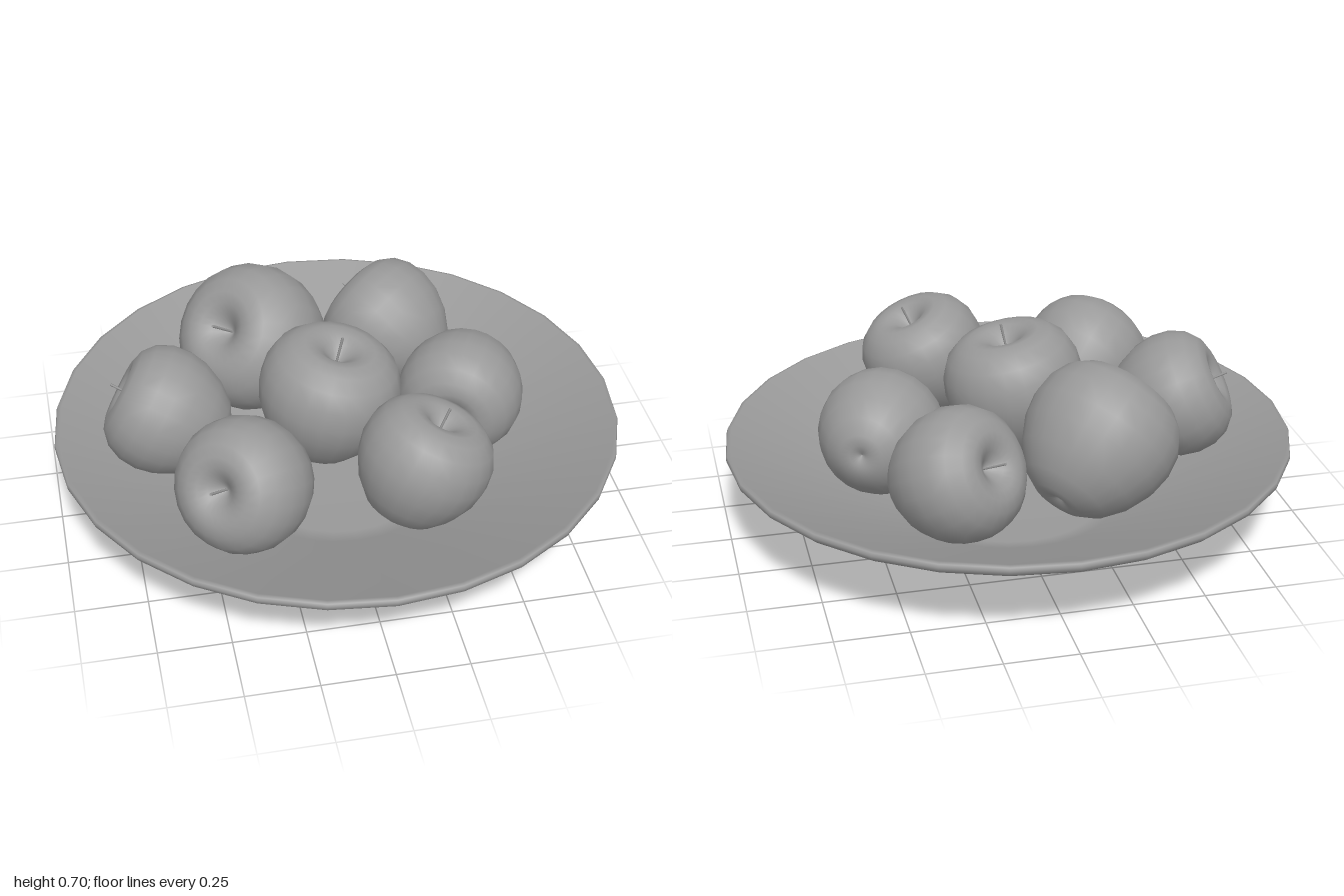
import * as THREE from 'three';

const material = new THREE.MeshStandardMaterial({ color: 0x999999 });
const toPoints = (pairs) => pairs.map(([x, y]) => new THREE.Vector2(x, y));

// Wide shallow bowl: flat foot, straight flared wall, thin rounded rim, hollow inside
function createBowl() {
  const profile = toPoints([
    [0, 0], [0.335, 0], [0.36, 0.001], [0.385, 0.012], [0.41, 0.024], [0.96, 0.278],
    [0.985, 0.291], [0.997, 0.302], [1, 0.315], [0.996, 0.326], [0.982, 0.33],
    [0.4, 0.06], [0.33, 0.045], [0, 0.045],
  ]);
  const bowl = new THREE.Mesh(new THREE.LatheGeometry(profile, 28), material);
  bowl.name = 'bowl';
  return bowl;
}

// Unit apple: dimpled at both ends, round shoulders, narrower longer base
const appleGeometry = new THREE.LatheGeometry(toPoints([
  [0, -0.86], [0.07, -0.9], [0.18, -0.945], [0.34, -0.93], [0.58, -0.79],
  [0.8, -0.52], [0.95, -0.2], [1, 0.09], [0.97, 0.37], [0.86, 0.61], [0.68, 0.77],
  [0.5, 0.83], [0.35, 0.81], [0.22, 0.73], [0.11, 0.62], [0.04, 0.55], [0, 0.53],
]), 22);

// Thin stem rising out of the upper dimple
const stemGeometry = new THREE.CylinderGeometry(0.02, 0.016, 0.44, 6).translate(0, 0.76, 0);

function createApple({ name, at, radius, tilt, toward }) {
  const apple = new THREE.Group();
  apple.name = name;
  const body = new THREE.Mesh(appleGeometry, material);
  body.name = 'appleBody';
  const stem = new THREE.Mesh(stemGeometry, material);
  stem.name = 'appleStem';
  apple.add(body, stem);

  // Lean the stem axis away from vertical, toward a direction in the xz plane
  const lean = THREE.MathUtils.degToRad(tilt);
  const flat = new THREE.Vector2(...toward).normalize().multiplyScalar(Math.sin(lean));
  const axis = new THREE.Vector3(flat.x, Math.cos(lean), flat.y);
  apple.quaternion.setFromUnitVectors(new THREE.Vector3(0, 1, 0), axis);
  apple.position.set(...at);
  apple.scale.setScalar(radius);
  return apple;
}

const apples = [
  { name: 'centreApple', at: [-0.042, 0.457, 0.066], radius: 0.249, tilt: 12, toward: [1, 0.15] },
  { name: 'backLargeApple', at: [-0.225, 0.422, -0.366], radius: 0.268, tilt: 53, toward: [-0.16, 0.11] },
  { name: 'backApple', at: [0.28, 0.381, -0.425], radius: 0.232, tilt: 64, toward: [-0.12, -0.13] },
  { name: 'frontApple', at: [0.202, 0.431, 0.468], radius: 0.229, tilt: 24, toward: [1, -0.12] },
  { name: 'frontRightApple', at: [-0.381, 0.382, 0.4], radius: 0.234, tilt: 65, toward: [-0.12, 0.125] },
  { name: 'rightApple', at: [-0.596, 0.397, -0.019], radius: 0.226, tilt: 63, toward: [-0.16, -0.055] },
  { name: 'leftApple', at: [0.462, 0.358, -0.008], radius: 0.224, tilt: 93, toward: [-0.1, 0.19] },
];

export function createModel() {
  const model = new THREE.Group();
  model.name = 'bowlOfApples';
  model.add(createBowl(), ...apples.map(createApple));
  return model;
}
